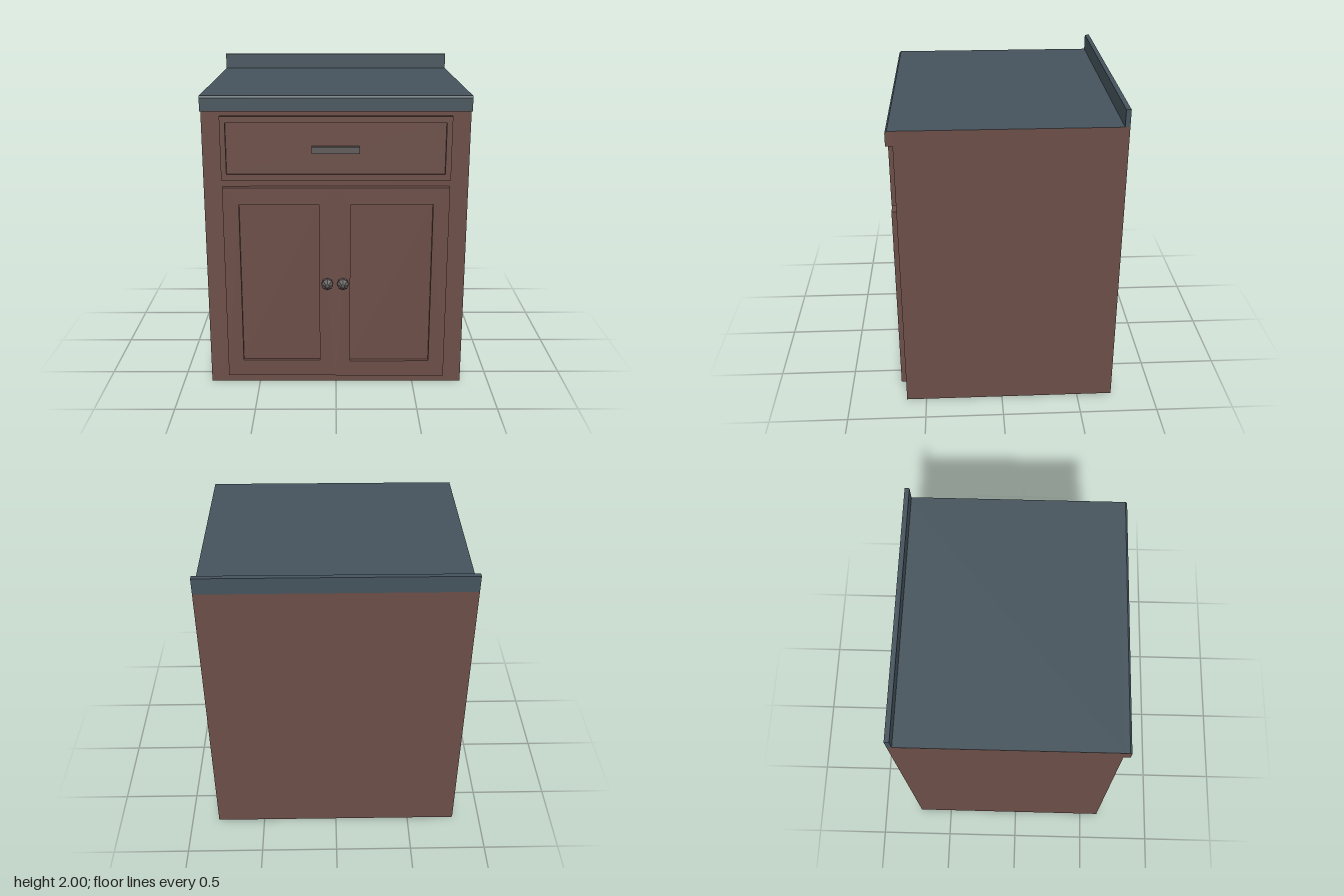
import * as THREE from 'three';

export function createModel() {
  const root = new THREE.Group();
  root.name = 'cabinet';
  const mat = (name, color) => {
    const m = new THREE.MeshStandardMaterial({ color });
    m.name = name;
    return m;
  };
  const wood = mat('brown wood', 0x6b4d47);
  const slate = mat('slate blue', 0x45535c);
  const metal = mat('grey metal', 0x5e5a58);
  metal.flatShading = true;

  const add = (name, geometry, material, parent = root) => {
    const mesh = new THREE.Mesh(geometry, material);
    mesh.name = name;
    parent.add(mesh);
    return mesh;
  };
  // Box given by its limits on each axis
  const box = (name, [x0, x1], [y0, y1], [z0, z1], material, parent) => {
    const mesh = add(name, new THREE.BoxGeometry(x1 - x0, y1 - y0, z1 - z0), material, parent);
    mesh.position.set((x0 + x1) / 2, (y0 + y1) / 2, (z0 + z1) / 2);
    return mesh;
  };

  const W = 0.817, BACK = -0.728, FRONT = 0.628, TOP = 1.895;

  // Carcass, with the worktop surface as its top face
  box('carcass', [-W, W], [0, TOP], [BACK, FRONT], [wood, wood, slate, wood, wood, wood]);
  box('backsplash', [-W, W], [TOP, 2], [BACK, -0.698], slate);

  // Worktop lip with a bevelled upper edge; its ends are wood
  const lip = new THREE.Shape([
    [FRONT, 1.803], [0.67, 1.803], [0.67, 1.882], [0.658, TOP], [FRONT, TOP],
  ].map(([z, y]) => new THREE.Vector2(-z, y)));
  const lipGeo = new THREE.ExtrudeGeometry(lip, { depth: 2 * W, bevelEnabled: false });
  lipGeo.rotateY(Math.PI / 2).translate(-W, 0, 0);
  add('worktopLip', lipGeo, [wood, slate]);

  // Raised frame around a recessed panel
  const rect = (Type, x0, x1, y0, y1) => new Type([
    new THREE.Vector2(x0, y0), new THREE.Vector2(x1, y0),
    new THREE.Vector2(x1, y1), new THREE.Vector2(x0, y1),
  ]);
  const framedFront = (name, outer, inner, front) => {
    const group = new THREE.Group();
    group.name = name;
    root.add(group);
    const shape = rect(THREE.Shape, ...outer);
    shape.holes.push(rect(THREE.Path, ...inner));
    const geo = new THREE.ExtrudeGeometry(shape, { depth: front - FRONT, bevelEnabled: false });
    add(name + 'Frame', geo.translate(0, 0, FRONT), wood, group);
    box(name + 'Panel', inner.slice(0, 2), inner.slice(2), [FRONT, 0.642], wood, group);
  };
  framedFront('drawer', [-0.703, 0.703, 1.375, 1.77], [-0.67, 0.668, 1.412, 1.732], 0.663);
  framedFront('rightDoor', [-0.70, -0.003, 0.062, 1.33], [-0.60, -0.105, 0.168, 1.222], 0.667);
  framedFront('leftDoor', [-0.003, 0.70, 0.057, 1.33], [0.09, 0.60, 0.163, 1.222], 0.667);

  // Drawer pull
  box('drawerHandle', [-0.148, 0.144], [1.544, 1.585], [0.642, 0.67], metal);

  // Faceted door knobs
  const knobGeo = new THREE.LatheGeometry([
    [0, 0], [0.03, 0], [0.037, 0.012], [0.037, 0.035], [0.012, 0.062], [0, 0.064],
  ].map(([r, h]) => new THREE.Vector2(r, h)), 8).rotateX(Math.PI / 2);
  for (const [name, x] of [['rightKnob', -0.055], ['leftKnob', 0.043]]) {
    add(name, knobGeo, metal).position.set(x, 0.706, 0.664);
  }

  return root;
}
